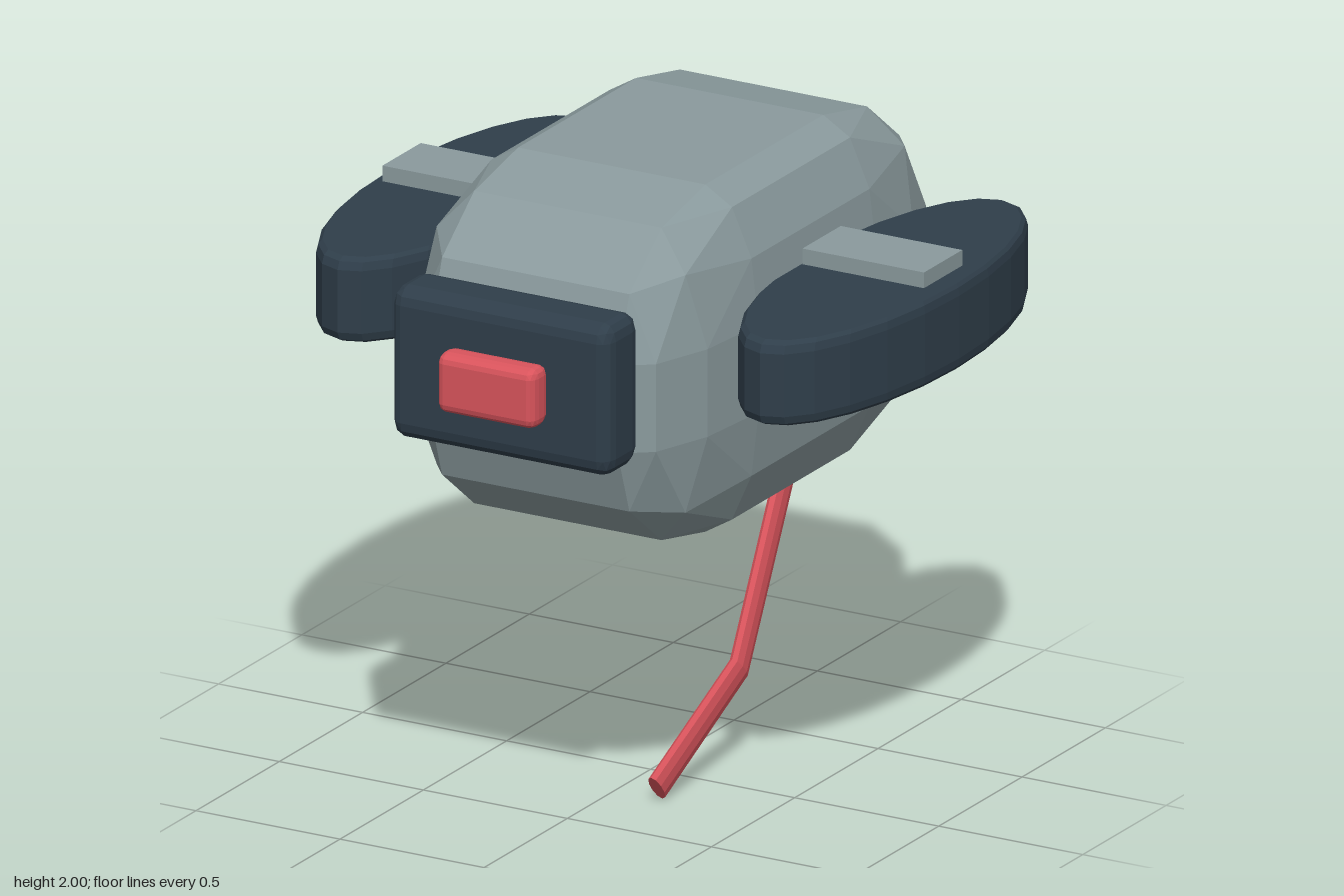
import * as THREE from 'three';
import { ConvexGeometry } from 'three/addons/geometries/ConvexGeometry.js';

const paint = (color) => new THREE.MeshStandardMaterial({ color, flatShading: true });

// Box whose corners are faceted eighths of an ellipsoid with radii r
function bevelBox(size, r, steps = 3) {
  const points = [];
  const s = (n) => Math.sin((n / steps) * Math.PI / 2);
  for (const sx of [-1, 1]) for (const sy of [-1, 1]) for (const sz of [-1, 1]) {
    for (let i = 0; i <= steps; i++) for (let j = 0; j <= steps - i; j++) {
      const d = new THREE.Vector3(s(i), s(j), s(steps - i - j)).normalize();
      points.push(new THREE.Vector3(
        sx * (size[0] / 2 - r[0] + r[0] * d.x),
        sy * (size[1] / 2 - r[1] + r[1] * d.y),
        sz * (size[2] / 2 - r[2] + r[2] * d.z)));
    }
  }
  return new ConvexGeometry(points);
}

// Oval-section bar through three centres, listed from top to bottom
function bentBar(centres, halfX, halfDepth) {
  const c = centres.map((p) => new THREE.Vector3(...p));
  const upper = c[0].clone().sub(c[1]).normalize();
  const lower = c[1].clone().sub(c[2]).normalize();
  const tangents = [upper, upper.clone().add(lower).normalize(), lower];
  const geo = new THREE.CylinderGeometry(1, 1, 1, 10, 2);
  const pos = geo.attributes.position;
  for (let i = 0; i < pos.count; i++) {
    const row = Math.round((0.5 - pos.getY(i)) * 2);
    const side = new THREE.Vector3(1, 0, 0).cross(tangents[row]).normalize();
    const v = c[row].clone().addScaledVector(side, pos.getZ(i) * halfDepth);
    pos.setXYZ(i, v.x + pos.getX(i) * halfX, v.y, v.z);
  }
  geo.computeVertexNormals();
  return geo;
}

export function createModel() {
  const model = new THREE.Group();
  const grey = paint(0x8a9a9d), dark = paint(0x2f3e4a), slate = paint(0x566b78), red = paint(0xd9545c);

  const add = (name, geo, mat, x, y, z) => {
    const mesh = new THREE.Mesh(geo, mat);
    mesh.name = name;
    mesh.position.set(x, y, z);
    model.add(mesh);
    return mesh;
  };

  // Body, face plate and front light
  add('body', bevelBox([1.02, 1.11, 1.76], [0.185, 0.415, 0.526]), grey, 0, 1.445, -0.12);
  add('facePlate', bevelBox([0.76, 0.485, 0.2], [0.04, 0.055, 0.05]), dark, 0, 1.517, 0.815);
  add('frontLight', bevelBox([0.34, 0.19, 0.1], [0.025, 0.03, 0.035]), red, 0, 1.515, 0.95);

  // Oval side pods with a bevelled rim
  const rim = [[0, -0.136], [0.955, -0.136], [0.985, -0.125], [1, -0.1],
    [1, 0.1], [0.985, 0.125], [0.955, 0.136], [0, 0.136]].map((p) => new THREE.Vector2(...p));
  const podGeo = new THREE.LatheGeometry(rim, 24).scale(0.265, 1, 0.74);
  const bracketGeo = bevelBox([0.38, 0.22, 0.3], [0.035, 0.06, 0.07]);
  const slatGeo = new THREE.BoxGeometry(0.422, 0.05, 0.23);

  for (const [side, s] of [['left', 1], ['right', -1]]) {
    add(side + 'Pod', podGeo, dark, s * 0.733, 1.553, -0.128);
    add(side + 'Bracket', bracketGeo, slate, s * 0.59, 1.42, -0.12);
    add(side + 'Slat', slatGeo, grey, s * 0.729, 1.727, -0.13);
  }

  // Bent strut hanging below the body
  add('strut', bentBar([[0.155, 0.852, -0.56], [0.235, 0.327, -0.123], [0.16, 0.042, 0.24]],
    0.022, 0.056), red, 0, 0, 0);

  return model;
}
